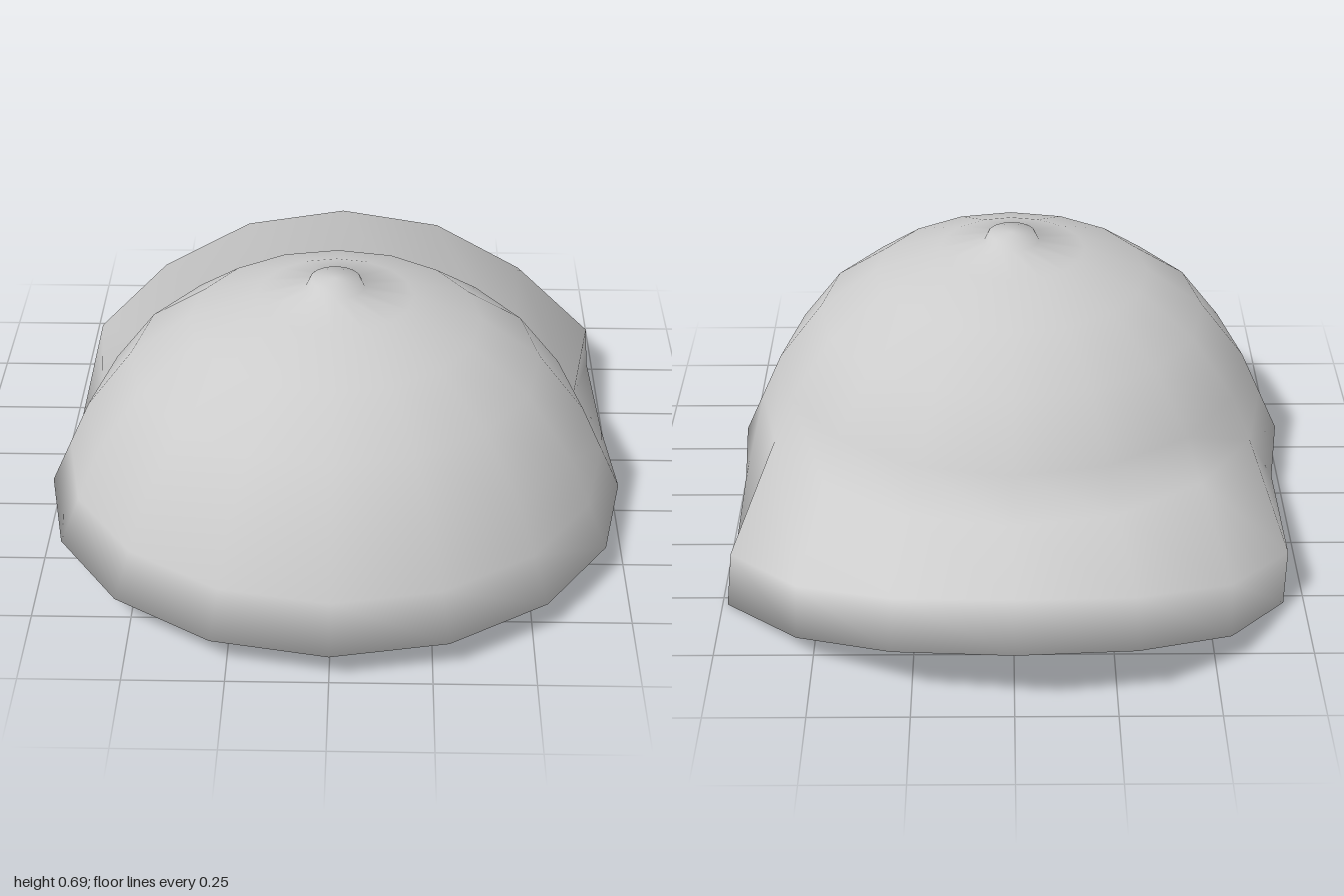
import * as THREE from 'three';
import { mergeGeometries, toCreasedNormals } from 'three/addons/utils/BufferGeometryUtils.js';

const SIDES = 16, CROWN_Z = 0.24;
const HEM = [0.757, 0.074], JOIN = [0.704, 0.192]; // band of the crown that the brim grows from

// Lining, hem, outside and button as one turned profile of [radius, height]
const PROFILE = [[0, 0.605], [0.18, 0.585], [0.34, 0.525], [0.48, 0.425], [0.59, 0.285],
  [0.682, 0.074], HEM, JOIN, [0.65, 0.312], [0.53, 0.47], [0.375, 0.58], [0.2, 0.645],
  [0.075, 0.672], [0.064, 0.694], [0, 0.694]];

function crownGeometry() {
  const crown = new THREE.LatheGeometry(PROFILE.map(([r, y]) => new THREE.Vector2(r, y)), SIDES);
  crown.translate(0, 0, CROWN_Z);
  // Leave the lower band open round the back, where the brim takes over
  const rows = PROFILE.length - 1, band = PROFILE.indexOf(HEM);
  const kept = Array.from(crown.index.array).filter((_, k) => {
    const quad = Math.floor(k / 6), segment = Math.floor(quad / rows);
    return !(quad % rows === band && segment >= 4 && segment <= 11);
  });
  crown.setIndex(kept);
  crown.deleteAttribute('normal');
  crown.deleteAttribute('uv');
  return crown;
}

// Brim: spokes run round the back from +x to -x, each a short cross-section
// of inner top, outer top, outer bottom and inner bottom
function brimGeometry() {
  const ring = ([r, y], step) => {
    const a = step * Math.PI / 8;
    return [r * Math.cos(a), y, CROWN_Z - r * Math.sin(a)];
  };
  const spoke = (step, top, bottom) => [ring(JOIN, step), top, bottom, ring(HEM, step)];
  const side = (rootX, cornerTopX, cornerX) => [
    spoke(0, ring(JOIN, 0), ring(HEM, 0)),
    spoke(1, ring(JOIN, 1), [rootX, 0.075, -0.03]),
    spoke(1, [cornerTopX, 0.135, -0.5], [cornerX, 0, -0.53]),
    spoke(2, [0.535, 0.208, -0.75], [0.537, 0.075, -0.78]),
    spoke(3, [0.29, 0.275, -0.9], [0.295, 0.152, -0.945]),
  ];
  const mirror = (section) => section.map(([x, y, z]) => [-x, y, z]);
  const middle = spoke(4, [0, 0.3, -0.945], [0, 0.18, -1]);
  const spokes = [
    ...side(0.735, 0.725, 0.737), middle, ...side(0.717, 0.705, 0.697).reverse().map(mirror),
  ];

  const index = [];
  for (let i = 0; i < spokes.length - 1; i++) {
    for (let j = 0; j < 3; j++) {
      const a = i * 4 + j, b = a + 1, c = a + 4, d = a + 5;
      index.push(a, b, d, a, d, c);
    }
  }
  const brim = new THREE.BufferGeometry();
  brim.setAttribute('position', new THREE.Float32BufferAttribute(spokes.flat(2), 3));
  brim.setIndex(index);
  return brim;
}

export function createModel() {
  const cap = new THREE.Group();
  cap.name = 'cap';
  const cloth = new THREE.MeshStandardMaterial({ color: 0xcccccc });
  cloth.name = 'light grey cloth';

  // Smooth crown and brim together so the shading flows across the join
  const shell = mergeGeometries([crownGeometry(), brimGeometry()]);
  const mesh = new THREE.Mesh(toCreasedNormals(shell, Math.PI), cloth);
  mesh.name = 'crownAndBrim';
  cap.add(mesh);
  return cap;
}
